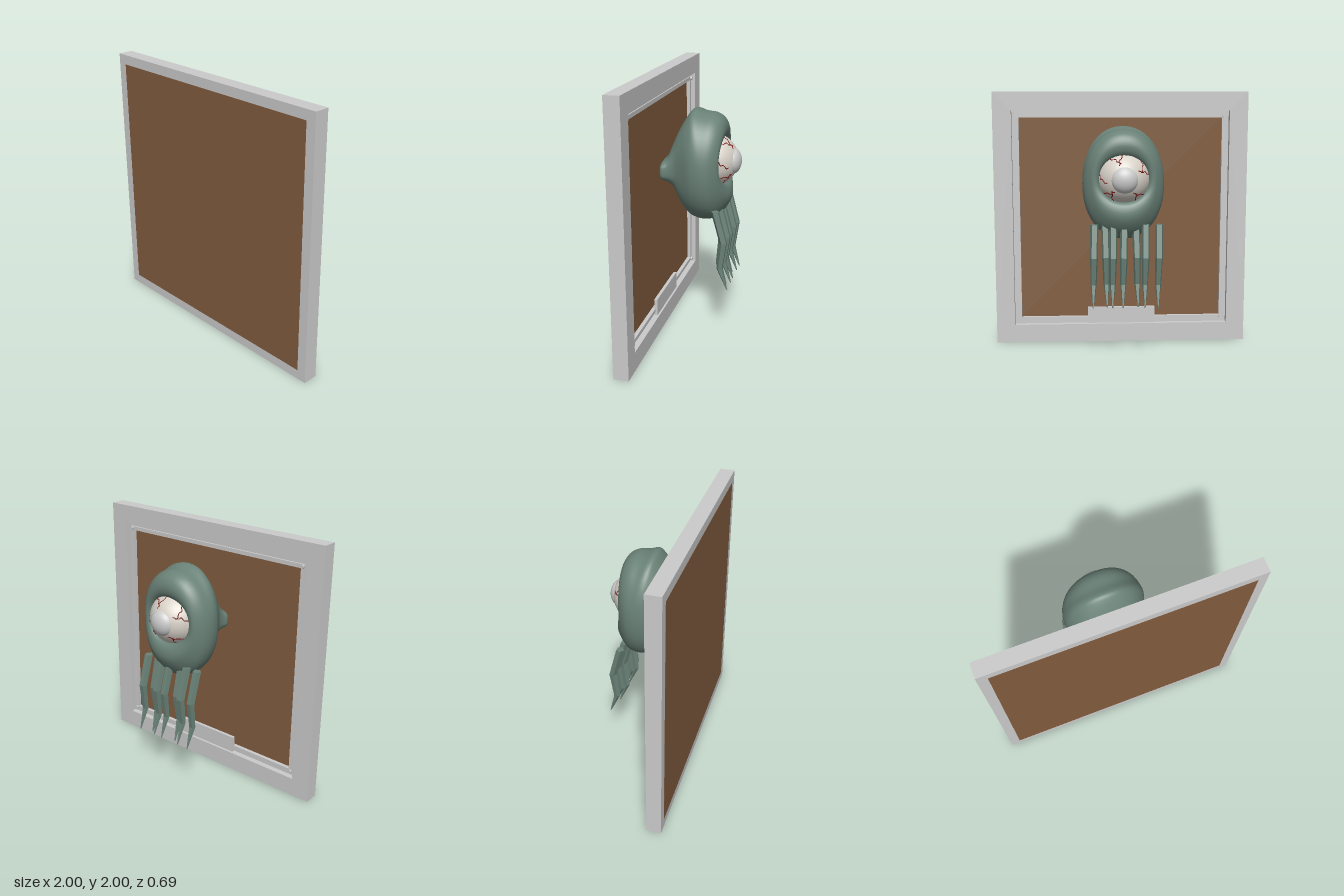
import * as THREE from 'three';

const mat = (color, extra = {}) => {
  const m = new THREE.MeshStandardMaterial({ color });
  return Object.assign(m, extra);
};
const grey = mat(0xcccccc);
const brown = mat(0x825d3f);
const skin = mat(0x6a8278, { side: THREE.DoubleSide });
const skinFlat = mat(0x6a8278, { flatShading: true });
const white = mat(0xd8d2c8);
const red = mat(0x7a1414);

function add(parent, name, geometry, material, x = 0, y = 0, z = 0) {
  const mesh = new THREE.Mesh(geometry, material);
  mesh.name = name;
  mesh.position.set(x, y, z);
  parent.add(mesh);
  return mesh;
}

// Square border with a square hole, extruded along z
function border(outer, inner, depth) {
  const square = (r, T) => {
    const p = new T();
    p.moveTo(-r, -r); p.lineTo(r, -r); p.lineTo(r, r); p.lineTo(-r, r); p.closePath();
    return p;
  };
  const shape = square(outer, THREE.Shape);
  shape.holes.push(square(inner, THREE.Path));
  return new THREE.ExtrudeGeometry(shape, { depth, bevelEnabled: false });
}

// Skin made of rings from the rear stump, over the head, into the eye socket.
// Each ring: top z, top y, bottom z, bottom y, side z, half width
function bodyGeometry() {
  const rings = [
    [0.23, 1.30, 0.23, 1.28, 0.23, 0.01],
    [0.23, 1.35, 0.23, 1.22, 0.23, 0.20],
    [0.19, 1.40, 0.19, 1.19, 0.17, 0.205],
    [0.15, 1.50, 0.15, 1.14, 0.12, 0.21],
    [0.10, 1.61, 0.10, 1.03, 0.07, 0.24],
    [0.04, 1.71, 0.04, 0.94, 0.00, 0.29],
    [0.00, 1.74, -0.03, 0.905, -0.05, 0.305],
    [-0.07, 1.72, -0.10, 0.90, -0.10, 0.305],
    [-0.15, 1.71, -0.17, 0.92, -0.15, 0.29],
    [-0.21, 1.67, -0.24, 1.00, -0.19, 0.26],
    [-0.235, 1.60, -0.275, 1.09, -0.215, 0.225],
    [-0.21, 1.53, -0.245, 1.18, -0.20, 0.185],
    [-0.12, 1.50, -0.12, 1.20, -0.12, 0.16],
  ];
  const curve = k => new THREE.CatmullRomCurve3(
    rings.map(r => new THREE.Vector3(r[k], r[k + 1], r[k + 2])), false, 'catmullrom', 0.5);
  const curveA = curve(0), curveB = curve(3);
  const rows = 48, cols = 48, pos = [], index = [];
  const power = (v, e) => Math.sign(v) * Math.pow(Math.abs(v), e);
  for (let i = 0; i <= rows; i++) {
    const t = i / rows;
    const { x: zT, y: yT, z: zB } = curveA.getPoint(t);
    const { x: yB, y: zS, z: w } = curveB.getPoint(t);
    // Squarish at the stump, round at the head
    const e = 2 / THREE.MathUtils.lerp(4, 2.15, Math.min(1, t * 2.4));
    for (let j = 0; j < cols; j++) {
      const a = (j / cols) * Math.PI * 2, s = Math.sin(a);
      pos.push(
        w * power(Math.cos(a), e),
        (yT + yB) / 2 + ((yT - yB) / 2) * power(s, e),
        THREE.MathUtils.lerp(zS, s > 0 ? zT : zB, s * s));
      if (i < rows) {
        const p = i * cols + j, q = i * cols + (j + 1) % cols;
        index.push(p, p + cols, q, q, p + cols, q + cols);
      }
    }
  }
  const g = new THREE.BufferGeometry();
  g.setAttribute('position', new THREE.Float32BufferAttribute(pos, 3));
  g.setIndex(index);
  g.computeVertexNormals();
  return g;
}

// Kinked five-sided tentacle tapering to a point
function tentacleGeometry() {
  const path = [[1.02, -0.185, 0.032], [0.78, -0.25, 0.030], [0.575, -0.225, 0.024], [0.41, -0.283, 0.004]];
  const g = new THREE.CylinderGeometry(1, 1, 3, 5, 3);
  const p = g.attributes.position;
  for (let i = 0; i < p.count; i++) {
    const [y, z, r] = path[Math.round(1.5 - p.getY(i))];
    p.setXYZ(i, p.getX(i) * r, y, z + p.getZ(i) * r);
  }
  g.computeVertexNormals();
  return g;
}

// Point on the eyeball: polar angle from the gaze axis, angle around it
const onEye = (polar, around, r) => new THREE.Vector3(
  r * Math.sin(polar) * Math.cos(around), r * Math.sin(polar) * Math.sin(around), -r * Math.cos(polar));

export function createModel() {
  const model = new THREE.Group();
  model.name = 'mountedCreature';

  // Mount: frame, panel, trim, lip and corner screws
  const mount = new THREE.Group();
  mount.name = 'mount';
  model.add(mount);
  add(mount, 'frame', border(1, 0.855, 0.113), grey, 0, 1, 0.23);
  add(mount, 'panel', new THREE.BoxGeometry(1.854, 1.854, 0.055), brown, 0, 1, 0.317);
  add(mount, 'recess', border(0.86, 0.8, 0.02), grey, 0, 1, 0.275);
  add(mount, 'trim', border(0.83, 0.8, 0.02), grey, 0, 1, 0.26);
  add(mount, 'lip', new THREE.BoxGeometry(0.54, 0.13, 0.025), grey, 0, 0.215, 0.255);
  for (const x of [-1, 1]) for (const y of [-1, 1]) {
    add(mount, 'screw', new THREE.CylinderGeometry(0.014, 0.014, 0.02, 12), grey, x * 0.815, 1 + y * 0.815, 0.255)
      .rotation.x = Math.PI / 2;
  }

  // Creature body
  const creature = new THREE.Group();
  creature.name = 'creature';
  model.add(creature);
  add(creature, 'body', bodyGeometry(), skin);

  // Eye with a bulging iris and thin veins
  const eye = new THREE.Group();
  eye.name = 'eye';
  eye.position.set(0, 1.355, -0.12);
  creature.add(eye);
  add(eye, 'eyeball', new THREE.SphereGeometry(0.2, 40, 28), white);
  add(eye, 'iris', new THREE.SphereGeometry(0.1, 32, 20), grey, 0, 0, -0.155).scale.z = 0.7;
  for (let k = 0; k < 9; k++) {
    const start = (k / 9) * Math.PI * 2 + 0.2, swing = k % 2 ? 0.45 : -0.4;
    const points = [];
    for (let i = 0; i <= 6; i++) {
      const t = i / 6;
      points.push(onEye(1.2 - t * (0.5 + 0.06 * (k % 3)), start + swing * t + 0.06 * Math.sin(i * 2.3 + k), 0.2));
    }
    add(eye, 'vein', new THREE.TubeGeometry(new THREE.CatmullRomCurve3(points), 20, 0.0035, 5), red);
  }

  // Row of tentacles below the eye
  const tentacle = tentacleGeometry();
  [0.22, 0.14, 0.08, 0, -0.09, -0.16, -0.26].forEach((x, i) => {
    const t = add(creature, 'tentacle', tentacle, skinFlat, x, 0, [-0.012, 0.016, -0.01][i % 3]);
    t.rotation.z = [0.02, -0.02, 0.015][i % 3];
    t.position.x += t.rotation.z;
  });
  return model;
}
